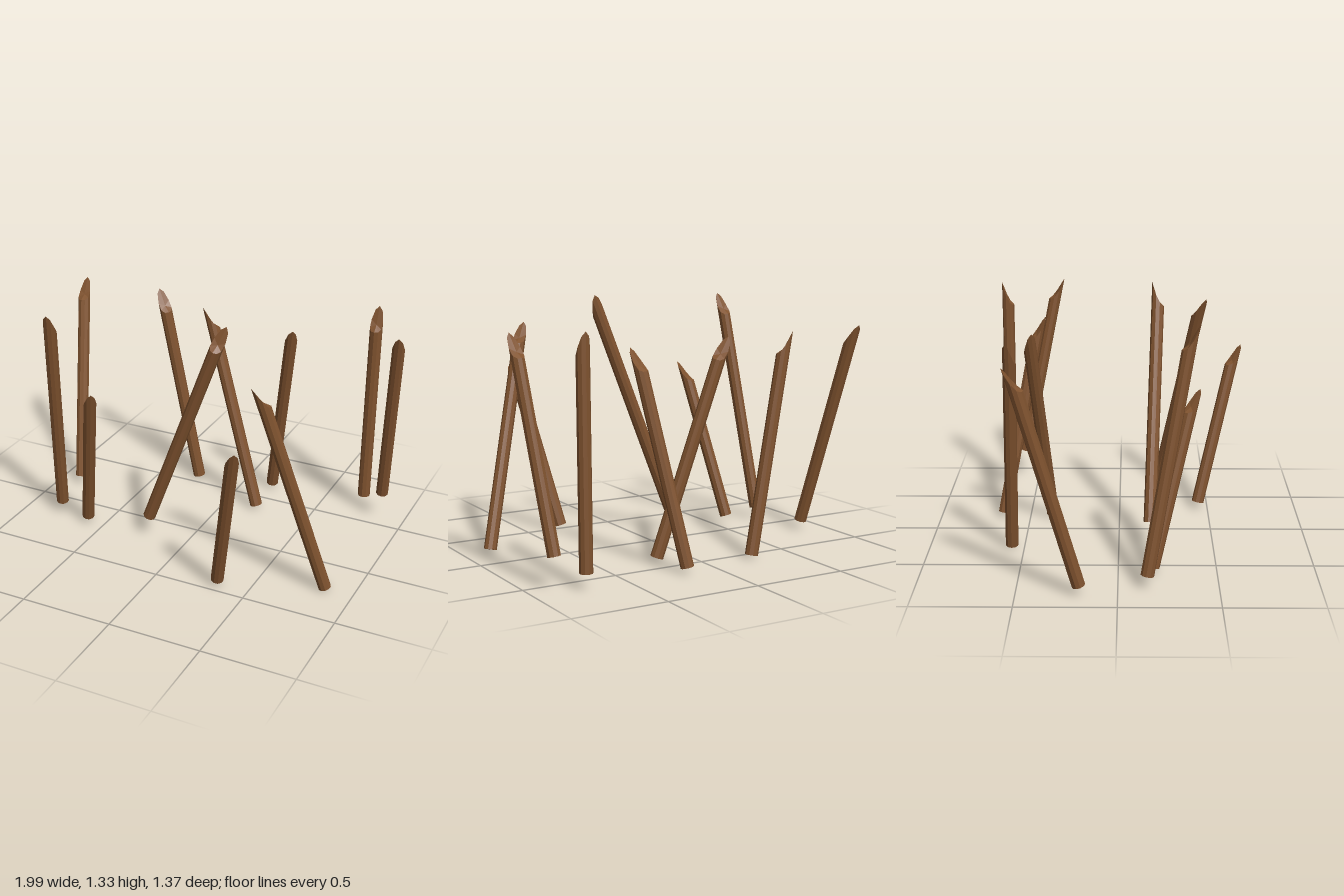
import * as THREE from 'three';

const RADIUS = 0.034;
const SIDES = 10;
const CUT = 0.13;

// Each stake: centre of its foot, its sharp tip, and the side (x, z) on which the tip lies
const STAKES = [
  { foot: [-0.86, 0.055, -0.19], tip: [-0.97, 1.18, -0.53], side: [0, -1] },
  { foot: [-0.785, 0.075, 0.145], tip: [-0.67, 1.31, 0.39], side: [0.1, 1] },
  { foot: [-0.6, 0.04, 0.175], tip: [-0.41, 0.93, 0.41], side: [0.6, 0.8] },
  { foot: [-0.265, 0.02, -0.565], tip: [-0.515, 1.17, -0.555], side: [-0.8, -0.6] },
  { foot: [-0.215, 0.13, 0.165], tip: [0.245, 1.33, 0.175], side: [0, -1] },
  { foot: [0.19, 0.025, -0.375], tip: [-0.19, 1.15, -0.45], side: [-0.8, 0.5] },
  { foot: [0.175, 0.035, -0.645], tip: [0.365, 1.12, -0.41], side: [0.4, 0.9] },
  { foot: [0.33, 0.04, 0.445], tip: [0.525, 0.93, 0.685], side: [0.5, 0.85] },
  { foot: [0.845, 0.015, 0.235], tip: [0.515, 1.19, 0.485], side: [-0.7, 0.7] },
  { foot: [0.74, 0.088, -0.65], tip: [0.75, 1.23, -0.685], side: [0, -1] },
  { foot: [0.87, 0.17, -0.575], tip: [0.975, 1.215, -0.335], side: [0.2, 1] },
];

// Round pole with its foot at the origin and a hollowed slanting cut, highest at +z
function stakeGeometry(length) {
  const geometry = new THREE.CylinderGeometry(RADIUS, RADIUS, length, SIDES);
  geometry.translate(0, length / 2, 0);
  const pos = geometry.attributes.position;
  for (let i = 0; i < pos.count; i++) {
    if (pos.getY(i) < length / 2) continue;
    const rise = (1 + pos.getZ(i) / RADIUS) / 2;
    pos.setY(i, length - CUT * (1 - rise * rise));
  }
  geometry.computeVertexNormals();
  return geometry;
}

export function createModel() {
  const model = new THREE.Group();
  model.name = 'sharpenedStakes';
  const wood = new THREE.MeshStandardMaterial({ color: 0x80532f, flatShading: true });
  wood.name = 'brown wood';

  STAKES.forEach(({ foot, tip, side }, i) => {
    const base = new THREE.Vector3(...foot);
    const sideDir = new THREE.Vector3(side[0], 0, side[1]).normalize();
    const axis = new THREE.Vector3(...tip).addScaledVector(sideDir, -RADIUS).sub(base);
    const length = axis.length();
    axis.normalize();

    // Lean the stake along its axis and turn the cut to its side
    const z = sideDir.addScaledVector(axis, -sideDir.dot(axis)).normalize();
    const x = new THREE.Vector3().crossVectors(axis, z);
    const stake = new THREE.Mesh(stakeGeometry(length), wood);
    stake.name = `stake${i + 1}`;
    stake.quaternion.setFromRotationMatrix(new THREE.Matrix4().makeBasis(x, axis, z));
    stake.position.copy(base);
    model.add(stake);
  });
  return model;
}
